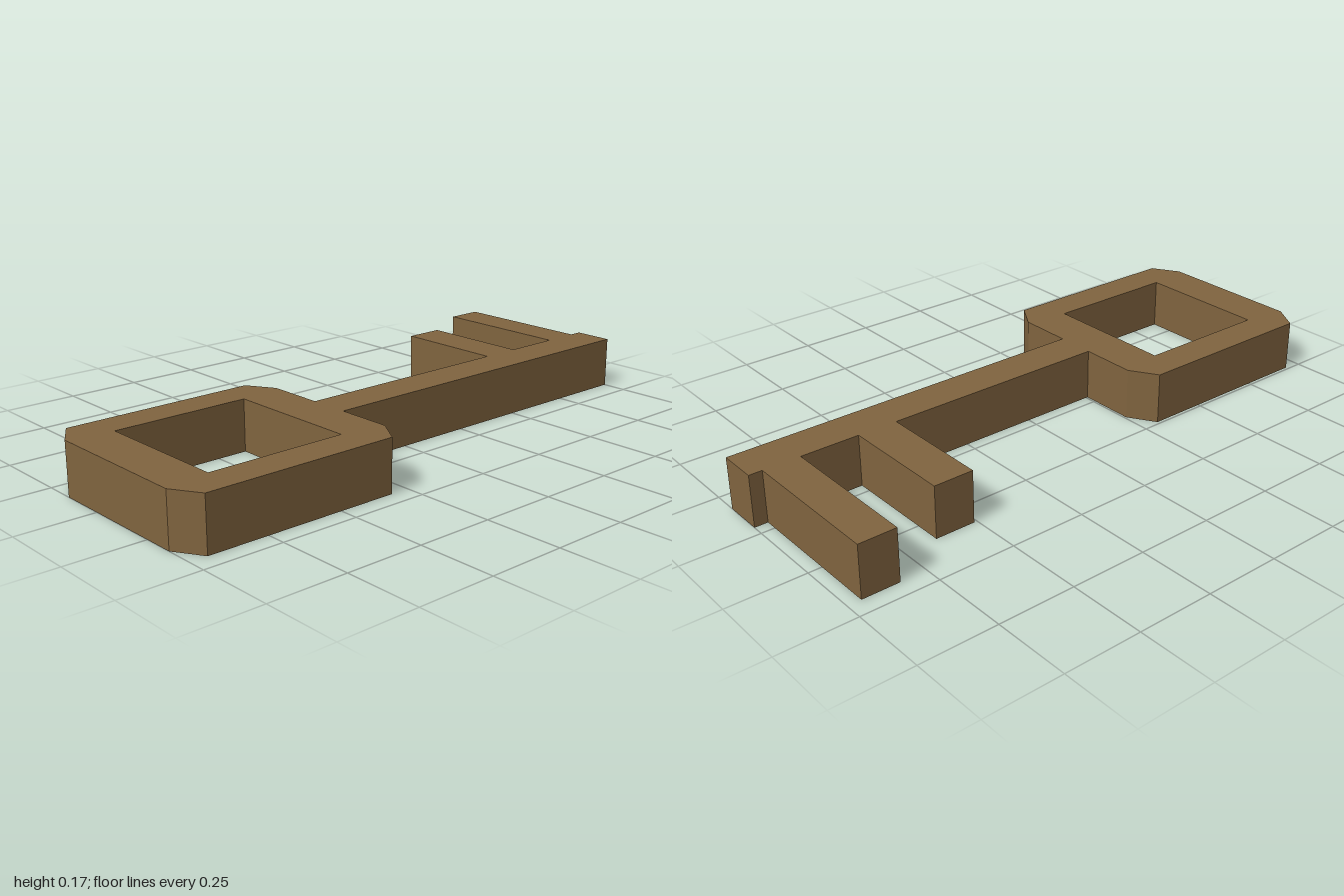
import * as THREE from 'three';

const HEIGHT = 0.17;
const material = new THREE.MeshStandardMaterial({ color: 0x80643f, flatShading: true });

// Flat block given by its x and z limits, resting on the ground
function block(name, x0, x1, z0, z1) {
  const mesh = new THREE.Mesh(new THREE.BoxGeometry(x1 - x0, HEIGHT, z1 - z0), material);
  mesh.position.set((x0 + x1) / 2, HEIGHT / 2, (z0 + z1) / 2);
  mesh.name = name;
  return mesh;
}

// Handle: a chamfered square ring
function createBow() {
  const halfX = 0.372, halfZ = 0.34, cutX = 0.055, cutZ = 0.09;
  const corners = [];
  for (const [sx, sy] of [[1, 1], [-1, 1], [-1, -1], [1, -1]]) {
    const side = new THREE.Vector2(sx * halfX, sy * (halfZ - cutZ));
    const end = new THREE.Vector2(sx * (halfX - cutX), sy * halfZ);
    corners.push(...(sx * sy > 0 ? [side, end] : [end, side]));
  }
  const shape = new THREE.Shape(corners);
  const hole = [[-0.227, -0.226], [-0.227, 0.226], [0.227, 0.226], [0.227, -0.226]];
  shape.holes.push(new THREE.Path(hole.map(([x, y]) => new THREE.Vector2(x, y))));

  const geometry = new THREE.ExtrudeGeometry(shape, { depth: HEIGHT, bevelEnabled: false });
  geometry.rotateX(-Math.PI / 2);
  const mesh = new THREE.Mesh(geometry, material);
  mesh.position.set(-0.628, 0, 0.1);
  mesh.name = 'bow';
  return mesh;
}

export function createModel() {
  const key = new THREE.Group();
  key.name = 'key';
  key.add(
    createBow(),
    block('shaft', -0.256, 1, 0.038, 0.168),
    // Teeth reach back from the shaft
    block('shortTooth', 0.51, 0.642, -0.336, 0.038),
    block('longTooth', 0.835, 0.957, -0.442, 0.038),
  );
  return key;
}
